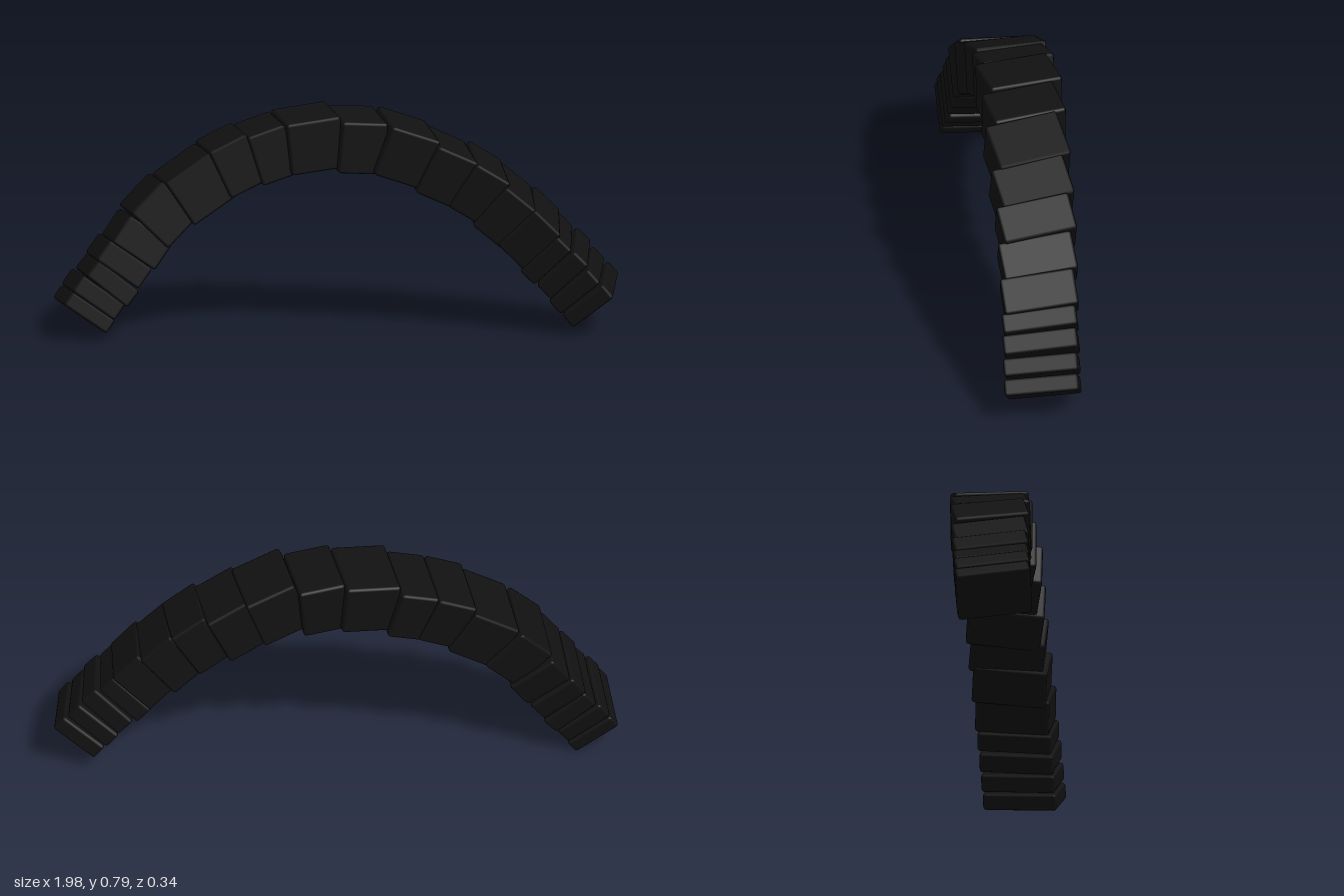
import * as THREE from 'three';
import { RoundedBoxGeometry } from 'three/addons/geometries/RoundedBoxGeometry.js';

// Centre points of the joints between blocks, from the right foot over the crown to the left foot: [x, y]
const JOINTS = [
  [-0.907, 0.073], [-0.875, 0.118], [-0.835, 0.173], [-0.79, 0.228], [-0.74, 0.297], [-0.675, 0.39],
  [-0.575, 0.49], [-0.43, 0.585], [-0.31, 0.64], [-0.19, 0.677], [-0.01, 0.696], [0.14, 0.683],
  [0.3, 0.622], [0.43, 0.557], [0.535, 0.488], [0.63, 0.405], [0.71, 0.322], [0.765, 0.265],
  [0.82, 0.208], [0.867, 0.153], [0.91, 0.1],
];

const THICKNESS = 0.185;
const DEPTH = 0.262;

// Sideways drift of the arch in plan: the middle sits further back than the feet
const PLAN = [[-1, 0.033], [-0.75, 0.002], [-0.5, -0.014], [-0.25, -0.034], [0, -0.031],
  [0.2, -0.017], [0.5, -0.012], [0.7, 0.003], [1, 0.027]];

function planZ(x) {
  for (let i = 1; i < PLAN.length; i++) {
    const [x0, z0] = PLAN[i - 1];
    const [x1, z1] = PLAN[i];
    if (x <= x1) return THREE.MathUtils.mapLinear(x, x0, x1, z0, z1);
  }
  return PLAN[PLAN.length - 1][1];
}

export function createModel() {
  const model = new THREE.Group();
  model.name = 'blockArch';
  const material = new THREE.MeshStandardMaterial({ color: 0x111111 });

  for (let i = 0; i < JOINTS.length - 1; i++) {
    const [x0, y0] = JOINTS[i];
    const [x1, y1] = JOINTS[i + 1];
    const cx = (x0 + x1) / 2;
    const cy = (y0 + y1) / 2;
    const chord = Math.hypot(x1 - x0, y1 - y0);

    // Blocks overlap around the crown and stand slightly apart near the left foot
    const length = chord + (cx > 0.72 ? -0.008 : Math.abs(cx) > 0.7 ? 0 : 0.014);
    const radius = Math.min(0.01, length * 0.2);
    const block = new THREE.Mesh(new RoundedBoxGeometry(length, THICKNESS, DEPTH, 1, radius), material);
    block.name = `archBlock${i + 1}`;

    // Skewed across the arch, turning into a twist towards the left foot
    const t = THREE.MathUtils.clamp((cx - 0.35) / 0.5, 0, 1);
    const yaw = THREE.MathUtils.degToRad(10 * (1 - t));
    const twist = THREE.MathUtils.degToRad(9 * t);
    const roll = Math.atan2(y1 - y0, x1 - x0);
    block.rotation.set(twist, yaw, roll, 'ZXY');

    // Neighbouring blocks step in and out a little, the two feet stay in line
    const isFoot = i === 0 || i === JOINTS.length - 2;
    const step = isFoot ? 0 : (i % 2 ? 0.004 : -0.004);
    block.position.set(cx - Math.sin(roll) * step, cy + Math.cos(roll) * step, planZ(cx));
    model.add(block);
  }
  return model;
}
